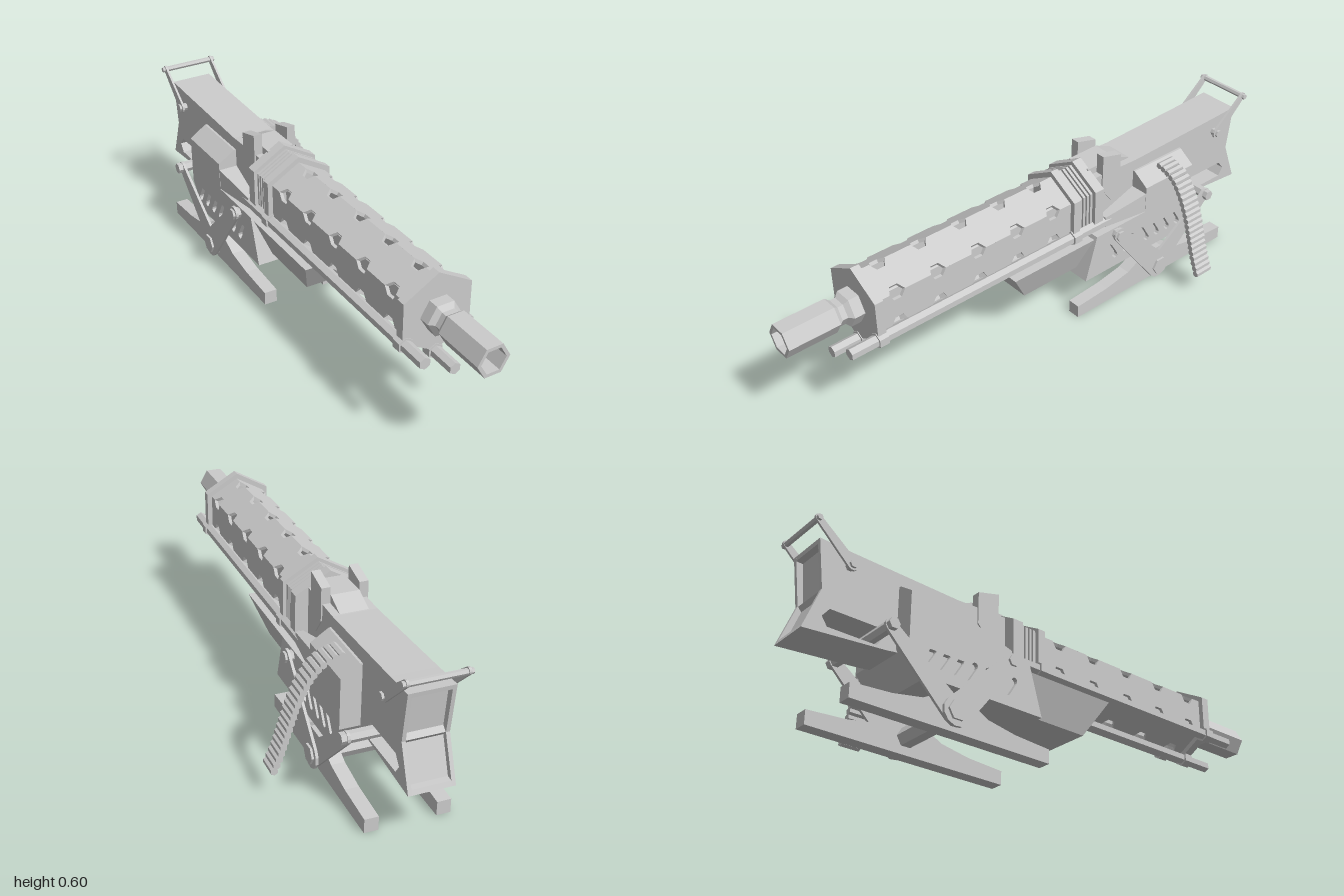
import * as THREE from 'three';

const mat = new THREE.MeshStandardMaterial({ color: 0xcccccc, flatShading: true, side: THREE.DoubleSide });
const AXIS_Y = 0.426;

export function createModel() {
  const root = new THREE.Group();
  root.name = 'mountedGun';
  const gun = new THREE.Group(); // local x = 0 is the gun's own centre line
  gun.name = 'gun';
  gun.position.x = -0.082;
  root.add(gun);

  const add = (name, geo, x = 0, y = 0, z = 0) => {
    const m = new THREE.Mesh(geo, mat);
    m.name = name;
    m.position.set(x, y, z);
    gun.add(m);
    return m;
  };
  const toShape = pts => new THREE.Shape(pts.map(p => new THREE.Vector2(p[0], p[1])));

  // Side profile given as [z, y], extruded from x0 to x1
  const side = (pts, x0, x1, holes = []) => {
    const shape = toShape(pts);
    shape.holes = holes.map(h => new THREE.Path(h.map(p => new THREE.Vector2(p[0], p[1]))));
    const geo = new THREE.ExtrudeGeometry(shape, { depth: x1 - x0, bevelEnabled: false });
    return geo.rotateY(-Math.PI / 2).translate(x1, 0, 0);
  };

  // Outline of a tapered link with round ends
  const link = (z1, y1, r1, z2, y2, r2, n = 6) => {
    const d = Math.atan2(y2 - y1, z2 - z1);
    const a = Math.acos((r1 - r2) / Math.hypot(z2 - z1, y2 - y1));
    const pts = [];
    const arc = (z, y, r, from, to) => {
      for (let i = 0; i <= n; i++) {
        const t = from + (to - from) * i / n;
        pts.push([z + r * Math.cos(t), y + r * Math.sin(t)]);
      }
    };
    arc(z1, y1, r1, d + a, d + 2 * Math.PI - a);
    arc(z2, y2, r2, d - a, d + a);
    return pts;
  };

  // Six-sided bars along z (corner up) and along x
  const hexZ = (r, z0, z1) =>
    new THREE.CylinderGeometry(r, r, z1 - z0, 6).rotateX(Math.PI / 2).translate(0, 0, (z0 + z1) / 2);
  const hexX = (r, x0, x1) =>
    new THREE.CylinderGeometry(r, r, x1 - x0, 6).rotateZ(Math.PI / 2).translate((x0 + x1) / 2, 0, 0);

  // Box whose corners are placed by a rule of the signs
  const block = rule => {
    const geo = new THREE.BoxGeometry(2, 2, 2);
    const p = geo.attributes.position;
    for (let i = 0; i < p.count; i++) p.setXYZ(i, ...rule(p.getX(i), p.getY(i), p.getZ(i)));
    geo.computeVertexNormals();
    return geo;
  };

  // Muzzle with hollow bore, and inner barrel
  const muzzle = [[0.062, 0.71], [0.062, 0.765], [0.045, 0.78], [0.045, 0.8], [0.058, 0.815],
    [0.058, 1], [0.045, 1], [0.045, 0.8], [0, 0.8]].map(p => new THREE.Vector2(p[0], p[1]));
  add('muzzle', new THREE.LatheGeometry(muzzle, 6).rotateX(Math.PI / 2).rotateZ(Math.PI / 6), 0, AXIS_Y);
  add('innerBarrel', hexZ(0.06, -0.12, 0.72), 0, AXIS_Y);

  // Shroud: six panels with notches that meet as holes on the corners
  const w = 0.0606, h = 0.03, holeZ = [-0.02, 0.14, 0.305, 0.47, 0.63];
  const lower = [[-0.12, -w]], upper = [[-0.12, w]];
  for (const z of holeZ) {
    for (const [dz, dy] of [[-h, 0], [-h / 2, h * 0.87], [h / 2, h * 0.87], [h, 0]]) {
      lower.push([z + dz, -w + dy]);
      upper.push([z + dz, w - dy]);
    }
  }
  lower.push([0.71, -w]);
  upper.push([0.71, w]);
  for (let i = 0; i < 6; i++) {
    const panel = side([...lower, ...upper.reverse()], 0.093, 0.105);
    upper.reverse();
    add('shroudPanel', panel.rotateZ(i * Math.PI / 3), 0, AXIS_Y);
  }

  // Flanges and cooling rings
  for (const [z0, z1] of [[0.695, 0.727], [-0.13, -0.1], [-0.24, -0.2]])
    add('flange', hexZ(0.142, z0, z1), 0, AXIS_Y);
  add('ringCore', hexZ(0.112, -0.21, -0.12), 0, AXIS_Y);
  for (let i = 0; i < 4; i++)
    add('coolingRing', hexZ(0.13, -0.146 - i * 0.0165, -0.136 - i * 0.0165), 0, AXIS_Y);

  // Guide rods with collars
  for (const [x, y, back] of [[-0.112, 0.347, -0.38], [0.112, 0.347, -0.38], [0, 0.283, -0.15]]) {
    add('guideRod', hexZ(0.021, back, 0.83), x, y);
    for (const z of [0.695, -0.13]) add('rodCollar', hexZ(0.028, z, z + 0.035), x, y);
  }

  // Tapered fore-end under the shroud
  add('foreEnd', block((x, y, z) => y > 0
    ? [x * 0.138, 0.31, z > 0 ? 0.18 : -0.2]
    : [x * 0.088, 0.178, z > 0 ? 0.1 : -0.2]));

  // Lower body: core with slotted side plates
  const body = [[-0.14, 0.152], [-0.19, 0.325], [-0.67, 0.325], [-0.67, 0.25], [-0.6, 0.152]];
  add('lowerBody', side(body, -0.132, 0.132));
  const slots = [];
  for (let i = 0; i < 7; i++) {
    const z = -0.255 - i * 0.054;
    slots.push(link(z, 0.25, 0.011, z - 0.03, 0.2, 0.011, 4));
  }
  for (const s of [-1, 1])
    add('slottedPlate', side(body, s > 0 ? 0.132 : -0.148, s > 0 ? 0.148 : -0.132, slots));

  // Feed box with sloped shoulders
  const feed = toShape([[-0.148, 0.25], [0.148, 0.25], [0.148, 0.428], [0.085, 0.47], [-0.085, 0.47], [-0.148, 0.428]]);
  add('feedBox', new THREE.ExtrudeGeometry(feed, { depth: 0.24, bevelEnabled: false }), 0, 0, -0.67);

  // Receiver and stock: side plates and a core recessed at the butt
  const front = [[-0.22, 0.3], [-0.22, 0.52], [-0.44, 0.512], [-0.85, 0.525], [-0.963, 0.53]];
  const under = [[-0.7, 0.235], [-0.6, 0.25]];
  const grip = [[-0.72, 0.27], [-0.74, 0.302], [-0.91, 0.302], [-0.935, 0.27], [-0.915, 0.24], [-0.74, 0.24]];
  const outer = [...front, [-0.942, 0.36], [-1, 0.21], ...under];
  const inner = [...front, [-0.961, 0.515], [-0.938, 0.513], [-0.924, 0.375], [-0.94, 0.36], [-0.928, 0.345],
    [-0.972, 0.228], [-0.993, 0.226], [-1, 0.21], ...under];
  add('stockCore', side(inner, -0.064, 0.064, [grip]));
  for (const s of [-1, 1])
    add('stockPlate', side(outer, s > 0 ? 0.064 : -0.077, s > 0 ? 0.077 : -0.064, [grip]));
  add('topCover', side([[-0.23, 0.5], [-0.23, 0.545], [-0.36, 0.545], [-0.45, 0.505]], -0.05, 0.05));

  for (const s of [-1, 1]) {
    const pair = (a, b) => (s > 0 ? [a, b] : [-b, -a]);

    // Sight plate beside the top cover
    add('sightPlate', side([[-0.272, 0.595], [-0.358, 0.572], [-0.358, 0.455], [-0.315, 0.398], [-0.272, 0.455]],
      ...pair(0.05, 0.082)));

    // Tapered guide in front of the feed box
    add('feedGuide', block((x, y, z) => z > 0
      ? [s * 0.112 + x * 0.014, 0.35 + y * 0.02, -0.25]
      : [s * 0.112 + x * 0.036, 0.365 + y * 0.04, -0.44]));

    // Ground skid
    add('skid', side([[-0.107, 0], [-0.107, 0.05], [-0.25, 0.06], [-0.36, 0.08], [-0.44, 0.123], [-0.53, 0.123],
      [-0.61, 0.08], [-0.72, 0.06], [-0.866, 0.05], [-0.866, 0]], ...pair(0.098, 0.146)));

    // Mount legs, front one outside the rear one
    add('frontLeg', side(link(-0.5, 0.058, 0.05, -0.282, 0.305, 0.026), ...pair(0.162, 0.172)));
    add('rearLeg', side(link(-0.5, 0.058, 0.045, -0.745, 0.272, 0.022), ...pair(0.152, 0.162)));

    // Carry handle arm and its bolt
    add('handleArm', side(link(-0.855, 0.468, 0.02, -0.985, 0.582, 0.012), ...pair(0.092, 0.1)));
    add('handleBolt', hexX(0.014, ...pair(0.07, 0.108)), 0, 0.468, -0.855);
  }
  add('handleBar', hexX(0.01, -0.11, 0.11), 0, 0.58, -0.985);

  // Axle and pivot pins through the legs
  add('axle', hexX(0.035, -0.18, 0.18), 0, 0.06, -0.5);
  add('frontPivot', hexX(0.02, -0.18, 0.18), 0, 0.302, -0.282);
  add('rearPivot', hexX(0.02, -0.18, 0.18), 0, 0.272, -0.745);

  // Hanging ammunition belt
  const belt = new THREE.CatmullRomCurve3([[0.03, 0.464], [0.06, 0.456], [0.1, 0.435], [0.14, 0.385],
    [0.172, 0.32], [0.2, 0.235], [0.225, 0.155], [0.25, 0.093]].map(([x, y]) => new THREE.Vector3(x + 0.082, y, 0)));
  for (const p of belt.getSpacedPoints(21))
    add('beltRound', hexZ(0.0125, -0.6, -0.527), p.x, p.y);

  return root;
}
